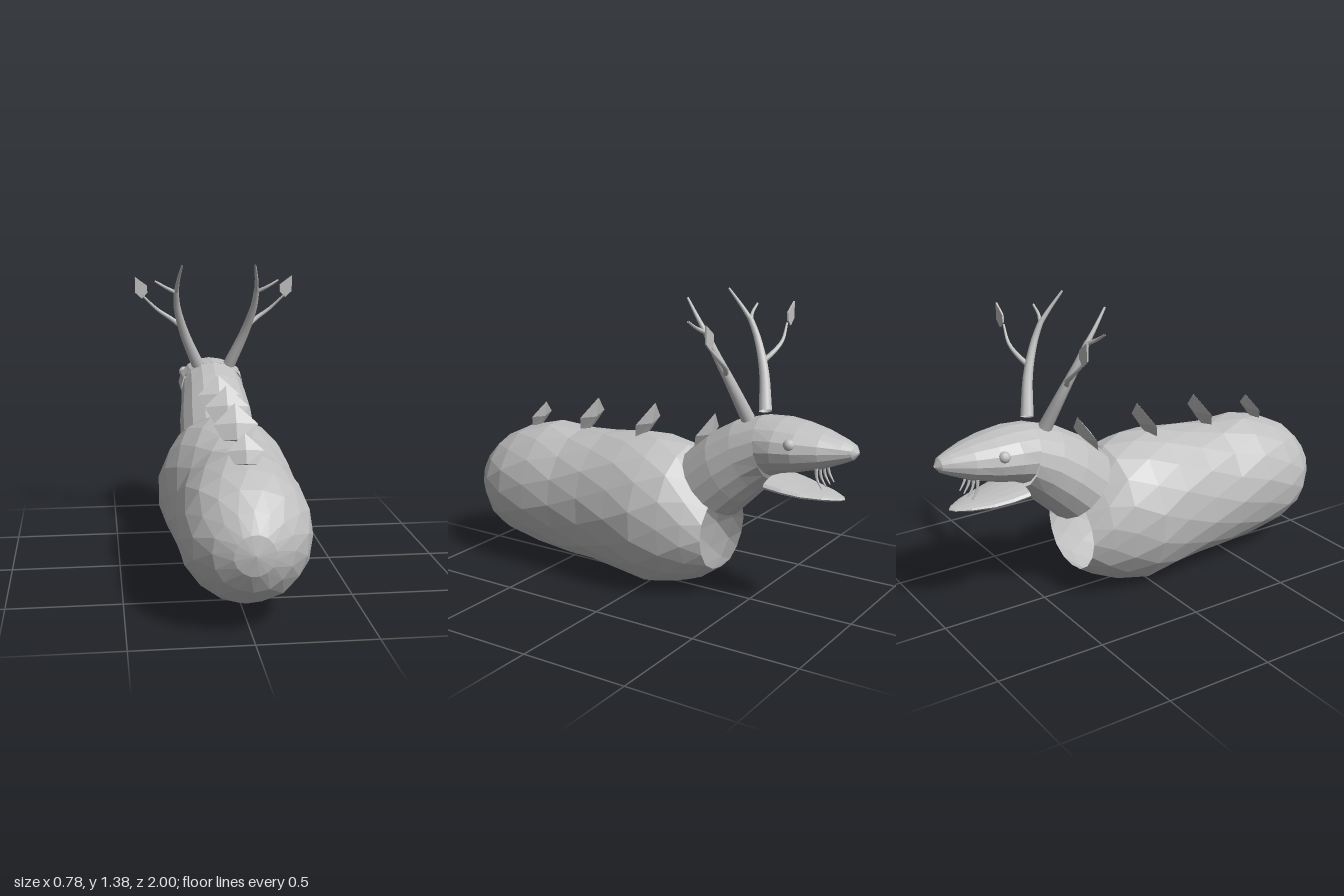
import * as THREE from 'three';

const SIDES = 16;

// Skin from elliptical rings, each given as [topY, topZ, bottomY, bottomZ, halfWidth]
function loft(rows, { sides = SIDES, twist = 0, bump = 0 } = {}) {
  const pos = [], idx = [];
  rows.forEach(([ty, tz, by, bz, w], i) => {
    for (let j = 0; j < sides; j++) {
      const a = ((j + i * twist) / sides) * Math.PI * 2;
      const k = 1 + bump * Math.sin(i * 7.3 + j * 4.1);
      const c = Math.cos(a) * k, s = Math.sin(a) * k;
      pos.push(w * c, (ty + by) / 2 + ((ty - by) / 2) * s, (tz + bz) / 2 + ((tz - bz) / 2) * s);
      if (i < rows.length - 1) {
        const p = i * sides + j, q = i * sides + ((j + 1) % sides);
        idx.push(p, p + sides, q, q, p + sides, q + sides);
      }
    }
  });
  const indexed = new THREE.BufferGeometry();
  indexed.setAttribute('position', new THREE.Float32BufferAttribute(pos, 3));
  indexed.setIndex(idx);
  const g = indexed.toNonIndexed();
  g.computeVertexNormals();
  return g;
}

// Tube that narrows from radius r0 to r1
function limb(points, r0, r1) {
  const curve = new THREE.CatmullRomCurve3(points.map((p) => new THREE.Vector3(...p)));
  const n = 10, sides = 8;
  const g = new THREE.TubeGeometry(curve, n, r0, sides);
  const at = g.attributes.position, v = new THREE.Vector3();
  for (let i = 0; i <= n; i++) {
    const centre = curve.getPointAt(i / n);
    const k = 1 + (r1 / r0 - 1) * (i / n);
    for (let j = 0; j <= sides; j++) {
      const id = i * (sides + 1) + j;
      v.fromBufferAttribute(at, id).sub(centre).multiplyScalar(k).add(centre);
      at.setXYZ(id, v.x, v.y, v.z);
    }
  }
  return g;
}

export function createModel() {
  const model = new THREE.Group();
  model.name = 'antleredSerpent';
  const grey = new THREE.MeshStandardMaterial({ color: 0xc0c0c0, side: THREE.DoubleSide });
  grey.name = 'grey';
  const add = (name, geometry, parent = model) => {
    const mesh = new THREE.Mesh(geometry, grey);
    mesh.name = name;
    parent.add(mesh);
    return mesh;
  };

  // Faceted hollow body, rounded at the rear and open under the neck
  add('body', loft([
    [0.37, 1, 0.36, 1, 0.005],
    [0.45, 0.985, 0.28, 0.985, 0.085],
    [0.53, 0.94, 0.2, 0.94, 0.165],
    [0.6, 0.86, 0.125, 0.86, 0.235],
    [0.65, 0.75, 0.085, 0.75, 0.275],
    [0.685, 0.6, 0.06, 0.6, 0.285],
    [0.675, 0.44, 0.045, 0.44, 0.285],
    [0.69, 0.27, 0.035, 0.27, 0.295],
    [0.71, 0.1, 0.02, 0.1, 0.31],
    [0.71, -0.04, 0, -0.04, 0.315],
    [0.685, -0.17, 0.03, -0.17, 0.285],
    [0.6, -0.27, 0.075, -0.27, 0.245],
    [0.5, -0.35, 0.13, -0.35, 0.2],
  ], { twist: 0.5, bump: 0.012 }));

  // Neck, cut off at a slant
  add('neck', loft([
    [0.67, -0.18, 0.4, -0.42, 0.185],
    [0.77, -0.3, 0.47, -0.49, 0.18],
    [0.84, -0.42, 0.54, -0.56, 0.165],
    [0.88, -0.55, 0.6, -0.62, 0.155],
  ]));

  // Head and open lower jaw
  add('head', loft([
    [0.88, -0.55, 0.62, -0.62, 0.158],
    [0.885, -0.66, 0.64, -0.66, 0.166],
    [0.875, -0.75, 0.66, -0.75, 0.15],
    [0.855, -0.85, 0.69, -0.86, 0.11],
    [0.827, -0.94, 0.725, -0.94, 0.062],
    [0.81, -0.98, 0.745, -0.98, 0.038],
    [0.78, -1, 0.77, -1, 0.008],
  ]));
  add('lowerJaw', loft([
    [0.6, -0.62, 0.598, -0.62, 0.002],
    [0.63, -0.62, 0.565, -0.62, 0.13],
    [0.615, -0.7, 0.557, -0.7, 0.125],
    [0.6, -0.78, 0.55, -0.78, 0.105],
    [0.586, -0.87, 0.552, -0.87, 0.068],
    [0.573, -0.93, 0.557, -0.93, 0.028],
    [0.567, -0.945, 0.562, -0.945, 0.004],
  ]));

  // Row of small hooked teeth
  for (const x of [-0.06, -0.02, 0.02, 0.06]) {
    add('tooth', limb([[x, 0.7, -0.835], [x, 0.655, -0.84], [x, 0.612, -0.865]], 0.009, 0.003));
  }

  // Eyes and antlers, mirrored
  for (const s of [1, -1]) {
    const side = s > 0 ? 'left' : 'right';
    add(side + 'Eye', new THREE.SphereGeometry(0.026, 12, 8)).position.set(s * 0.132, 0.803, -0.74);

    const antler = new THREE.Group();
    antler.name = side + 'Antler';
    model.add(antler);
    const branch = (name, pts, r0, r1) =>
      add(name, limb(pts.map(([x, y, z]) => [s * x, y, z]), r0, r1), antler);
    branch('antlerBeam', [[0.08, 0.875, -0.515], [0.15, 1.04, -0.465], [0.19, 1.18, -0.405], [0.196, 1.26, -0.365]], 0.031, 0.013);
    branch('antlerTip', [[0.196, 1.25, -0.37], [0.19, 1.31, -0.325], [0.175, 1.388, -0.265]], 0.012, 0.005);
    branch('antlerTine', [[0.194, 1.25, -0.37], [0.245, 1.277, -0.35], [0.3, 1.31, -0.345]], 0.01, 0.005);
    branch('leafStem', [[0.165, 1.075, -0.45], [0.21, 1.11, -0.475], [0.28, 1.157, -0.487], [0.35, 1.225, -0.472]], 0.013, 0.005);

    // Flat angular leaf
    const outline = [[0.39, 1.32], [0.33, 1.276], [0.33, 1.24], [0.357, 1.213], [0.39, 1.243]];
    const shape = new THREE.Shape(outline.map(([x, y]) => new THREE.Vector2(s * x, y)));
    const leaf = add('leaf', new THREE.ExtrudeGeometry(shape, { depth: 0.008, bevelEnabled: false }), antler);
    leaf.position.z = -0.488;
  }

  // Pointed diamond plates along the back, leaning toward the head
  for (const [y, z, k] of [[0.66, 0.71, 0.75], [0.69, 0.405, 0.95], [0.7, 0.085, 1], [0.695, -0.235, 1]]) {
    const plate = loft([
      [0.001, 0, -0.001, 0, 0.001],
      [0.018, 0, -0.018, 0, 0.062],
      [0.027, -0.075, -0.027, -0.075, 0.103],
      [0.001, -0.172, -0.001, -0.172, 0.002],
    ], { sides: 4 });
    const mesh = add('backPlate', plate);
    mesh.scale.setScalar(k);
    mesh.rotation.x = Math.PI / 2 - 0.42;
    mesh.position.set(0, y, z);
  }

  return model;
}
